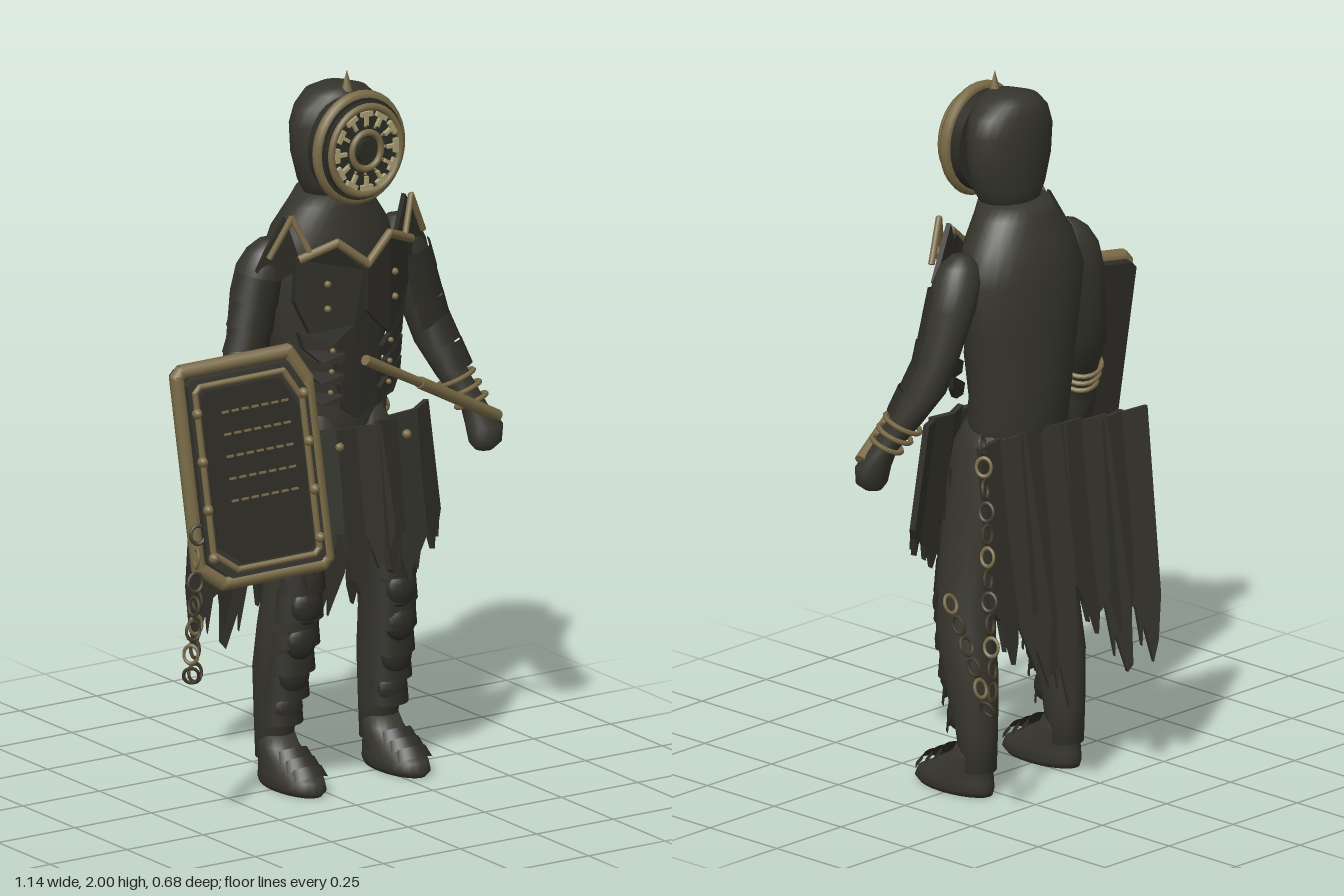
import * as THREE from 'three';

const flat = (name, color, side = THREE.FrontSide) => {
  const m = new THREE.MeshStandardMaterial({ color, side });
  m.name = name;
  return m;
};
const V = (x, y, z) => new THREE.Vector3(x, y, z);
const CX = 0.12; // body centre line

export function createModel() {
  const model = new THREE.Group();
  const suit = flat('charcoal suit', 0x36352d);
  const armour = flat('dark armour', 0x2d2c26, THREE.DoubleSide);
  const cloth = flat('torn cloth', 0x32312a, THREE.DoubleSide);
  const brass = flat('aged brass', 0x7a6b47);
  const pale = flat('pale brass', 0xaba077);
  const iron = flat('chain iron', 0x403b2b);

  const add = (name, geo, mat, parent = model, pos) => {
    const m = new THREE.Mesh(geo, mat);
    m.name = name;
    if (pos) m.position.copy(pos);
    parent.add(m);
    return m;
  };
  const group = name => {
    const g = new THREE.Group();
    g.name = name;
    model.add(g);
    return g;
  };
  // Smooth body from level ellipses [x, y, z, rx, rz], bottom to top, closed at both ends
  const loft = (rows, seg = 24) => {
    const close = r => [r[0], r[1], r[2], 0.001, 0.001];
    const all = [close(rows[0]), ...rows, close(rows[rows.length - 1])];
    const pos = [], idx = [];
    all.forEach(([x, y, z, rx, rz], i) => {
      for (let j = 0; j < seg; j++) {
        const a = j / seg * Math.PI * 2;
        pos.push(x + rx * Math.cos(a), y, z + rz * Math.sin(a));
        if (i === all.length - 1) continue;
        const p = i * seg + j, q = i * seg + (j + 1) % seg;
        idx.push(p, p + seg, q, q, p + seg, q + seg);
      }
    });
    const g = new THREE.BufferGeometry();
    g.setAttribute('position', new THREE.Float32BufferAttribute(pos, 3));
    g.setIndex(idx);
    g.computeVertexNormals();
    return g;
  };
  // Round bar between two points
  const rod = (name, a, b, r, parent = model, r2 = r) => {
    const d = b.clone().sub(a);
    const m = add(name, new THREE.CylinderGeometry(r2, r, d.length() + r * 0.6, 10), brass, parent, a.clone().add(b).multiplyScalar(0.5));
    m.quaternion.setFromUnitVectors(V(0, 1, 0), d.normalize());
  };
  const rods = (name, pts, r, parent) => pts.slice(1).forEach((p, i) => rod(name, pts[i], p, r, parent));
  const slab = (pts, depth) => new THREE.ExtrudeGeometry(
    new THREE.Shape(pts.map(p => new THREE.Vector2(p[0], p[1]))), { depth, bevelEnabled: false });
  // Armour plate wrapped back around the body
  const bent = (pts, depth, z, k) => {
    const g = slab(pts, depth), p = g.attributes.position;
    for (let i = 0; i < p.count; i++) p.setZ(i, p.getZ(i) + z - k * p.getX(i) ** 2);
    g.computeVertexNormals();
    return g;
  };
  const stud = (p, r = 0.01, parent = model) => add('stud', new THREE.SphereGeometry(r, 10, 6), brass, parent, p);
  // Curved guard wrapping the front of a limb
  const guard = (name, p, rTop, rBot, h, sz = 1) => {
    const m = add(name, new THREE.CylinderGeometry(rTop, rBot, h, 12, 1, true, -1.1, 2.2), armour, model, p);
    m.scale.z = sz;
    return m;
  };

  // Torso and hood
  add('torso', loft([
    [CX, 0.91, -0.05, 0.09, 0.08], [CX, 0.96, -0.055, 0.14, 0.11], [CX, 1.04, -0.06, 0.155, 0.12],
    [CX, 1.15, -0.07, 0.16, 0.12], [CX, 1.3, -0.07, 0.185, 0.125], [CX, 1.45, -0.067, 0.21, 0.13],
    [CX, 1.55, -0.06, 0.175, 0.118], [CX, 1.62, -0.05, 0.125, 0.1], [CX, 1.655, -0.045, 0.1, 0.095]], 32), suit);
  add('hood', loft([
    [CX, 1.63, -0.03, 0.08, 0.065], [CX, 1.69, -0.025, 0.115, 0.08], [CX, 1.77, -0.025, 0.137, 0.088],
    [CX, 1.85, -0.027, 0.14, 0.09], [CX, 1.9, -0.025, 0.125, 0.085], [CX, 1.935, -0.025, 0.09, 0.075],
    [CX, 1.95, -0.02, 0.045, 0.05]], 28), suit);

  // Round visor
  const visor = group('visor');
  visor.position.set(CX, 1.795, 0.085);
  visor.scale.y = 1.08;
  const disc = (name, r, d, z, mat) => { add(name, new THREE.CylinderGeometry(r, r, d, 32), mat, visor, V(0, 0, z)).rotation.x = Math.PI / 2; };
  const ring = (name, R, r, z) => add(name, new THREE.TorusGeometry(R, r, 8, 36), brass, visor, V(0, 0, z));
  disc('visorBack', 0.132, 0.07, -0.015, armour);
  ring('visorRim', 0.132, 0.017, 0);
  disc('visorFace', 0.124, 0.03, 0.015, armour);
  ring('visorMiddleRing', 0.113, 0.01, 0.035);
  ring('visorInnerRing', 0.047, 0.009, 0.038);
  disc('visorHub', 0.03, 0.03, 0.03, armour);
  for (let i = 0; i < 12; i++) {
    const a = i / 12 * Math.PI * 2;
    const at = (r, z) => V(Math.sin(a) * r, Math.cos(a) * r, z);
    add('visorTick', new THREE.BoxGeometry(0.036, 0.013, 0.012), pale, visor, at(0.096, 0.038)).rotation.z = -a;
    add('visorTooth', new THREE.BoxGeometry(0.009, 0.026, 0.012), pale, visor, at(0.08, 0.038)).rotation.z = -a;
    stud(at(0.063, 0.032), 0.005, visor);
  }
  add('crownSpike', new THREE.ConeGeometry(0.017, 0.065, 8), brass, model, V(CX, 1.968, 0.028));

  for (const s of [-1, 1]) {
    const X = dx => CX + s * dx;
    const row = ([dx, ...r]) => [X(dx), ...r];

    // Arm and fist
    add('arm', loft([
      [0.395, 0.885, 0.105, 0.025, 0.025], [0.4, 0.905, 0.105, 0.047, 0.04], [0.4, 0.95, 0.1, 0.054, 0.045],
      [0.385, 1.0, 0.075, 0.038, 0.037], [0.345, 1.08, 0.035, 0.046, 0.05], [0.315, 1.17, -0.015, 0.053, 0.058],
      [0.285, 1.27, -0.04, 0.052, 0.056], [0.25, 1.4, -0.05, 0.065, 0.068], [0.23, 1.47, -0.05, 0.068, 0.064],
      [0.215, 1.515, -0.045, 0.055, 0.05], [0.21, 1.54, -0.045, 0.025, 0.025]].map(row)), suit);
    for (const [dx, y, z, r] of [[0.378, 1.015, 0.07, 0.045], [0.364, 1.045, 0.053, 0.049], [0.35, 1.075, 0.037, 0.053]]) {
      const band = add('wristBand', new THREE.TorusGeometry(r, 0.007, 6, 20), brass, model, V(X(dx), y, z));
      band.rotation.set(Math.PI / 2 - 0.35, s * 0.3, 0);
    }
    [[0.332, 1.13, 0.008], [0.31, 1.2, -0.022], [0.288, 1.27, -0.037], [0.268, 1.34, -0.045], [0.25, 1.41, -0.05]].forEach(([dx, y, z], i) => {
      const g = guard('armGuard', V(X(dx), y, z), 0.062 + i * 0.002, 0.068 + i * 0.002, 0.075);
      g.rotation.set(i < 2 ? -0.35 : -0.05, s * 0.4, s * 0.25);
    });

    // Pointed shoulder plate with brass edge
    const sh = add('shoulderPlate', slab([[0.15, 1.47], [0.2, 1.615], [0.285, 1.47], [0.24, 1.42]].map(([a, b]) => [s * a, b - 1.5]), 0.015), armour, model, V(CX, 1.5, 0.055));
    sh.rotation.y = s * 0.25;
    rods('shoulderTrim', [V(X(0.155), 1.52, 0.08), V(X(0.195), 1.62, 0.05), V(X(0.25), 1.51, 0.025)], 0.009);

    // Breastplate half, collar trim and rib plates
    const plate = (name, pts, z, k) => add(name, bent(pts.map(([a, b]) => [s * a, b]), 0.02, z, k), armour, model, V(CX, 0, 0));
    plate('breastplate', [[0.008, 1.46], [0.09, 1.54], [0.18, 1.5], [0.185, 1.38], [0.15, 1.29], [0.09, 1.26], [0.035, 1.31], [0.008, 1.34]], 0.1, 2);
    plate('bellyPlate', [[0, 1.36], [0.05, 1.34], [0.07, 1.2], [0.045, 1.06], [0, 1.03]], 0.065, 1.5);
    rods('collarTrim', [V(X(0.18), 1.505, 0.07), V(X(0.085), 1.545, 0.108), V(X(0), 1.478, 0.13)], 0.012);
    for (let i = 0; i < 3; i++) {
      const y = 1.25 - i * 0.06;
      plate('ribPlate', [[0.06, y - 0.02], [0.17, y + 0.04], [0.16, y - 0.005], [0.12, y - 0.045], [0.07, y - 0.05]], 0.1 - i * 0.005, 2.4);
      stud(V(X(0.095), y - 0.01, 0.1 - i * 0.005), 0.008);
    }
    for (const y of [1.43, 1.36]) stud(V(X(0.11), y, 0.098));

    // Leg, foot and layered guards
    add('leg', loft([
      [0.17, 0.07, -0.075, 0.05, 0.048], [0.17, 0.18, -0.068, 0.057, 0.058], [0.17, 0.33, -0.045, 0.073, 0.078],
      [0.165, 0.45, -0.022, 0.076, 0.086], [0.152, 0.56, -0.01, 0.076, 0.09], [0.128, 0.7, -0.015, 0.084, 0.1],
      [0.1, 0.85, -0.03, 0.09, 0.115], [0.085, 0.97, -0.04, 0.085, 0.115], [0.08, 1.04, -0.05, 0.06, 0.09]].map(row)), suit);
    add('foot', loft([
      [0.17, 0, 0.01, 0.058, 0.125], [0.17, 0.015, 0.015, 0.067, 0.135], [0.17, 0.04, 0.01, 0.066, 0.128],
      [0.17, 0.075, -0.02, 0.06, 0.092], [0.17, 0.11, -0.055, 0.056, 0.064], [0.17, 0.14, -0.065, 0.05, 0.055]].map(row)), suit);
    for (let i = 0; i < 6; i++) {
      const t = i / 5, y = 0.22 + t * 0.38, r = 0.064 + 0.018 * Math.sin(t * 2.2);
      guard('shinGuard', V(X(0.172 - t * 0.023), y, -0.058 + t * 0.048), r, r + 0.007, 0.09, 1.1);
    }
    for (let i = 0; i < 3; i++) guard('thighGuard', V(X(0.125 - i * 0.012), 0.7 + i * 0.08, -0.01 - i * 0.008), 0.086, 0.092, 0.09, 1.12);
    // Rounded scales down the front of the leg
    [[0.155, 0.52, 0.06], [0.162, 0.42, 0.045], [0.167, 0.32, 0.02], [0.17, 0.22, -0.008]].forEach(([dx, y, z]) => {
      add('legScale', new THREE.SphereGeometry(0.048, 14, 10), armour, model, V(X(dx), y, z)).scale.set(1, 1.1, 0.55);
    });
    for (let i = 0; i < 3; i++) {
      const g = guard('footGuard', V(X(0.17), 0.085 - i * 0.018, 0.01 + i * 0.035), 0.052, 0.062, 0.035, 0.8);
      g.rotation.x = -0.5;
    }
  }

  // Torn skirt: ragged hanging strips
  const strip = (x, y, z, w, len, lean, yaw, seed) => {
    const k = 0.1 + 0.08 * Math.sin(seed * 2.3);
    const m = add('skirtStrip', slab([[-w / 2, 0], [w / 2, 0.012 * Math.sin(seed)], [w * 0.56, -len * 0.75], [w * 0.32, -len * (0.9 - k)],
      [w * 0.2, -len * 0.93], [0.01, -len * 0.84], [-w * 0.15, -len], [-w * 0.36, -len * (0.8 + k)], [-w * 0.54, -len * 0.74]], 0.016), cloth, model, V(x, y, z));
    m.rotation.set(lean, yaw, 0.05 * Math.sin(seed * 1.7));
  };
  [0.4, 0.43, 0.38, 0.46, 0.4, 0.42, 0.46, 0.39].forEach((len, i) => {
    const u = (i - 3.5) / 3.5;
    strip(0.085 + u * 0.235, 1.025, 0.115 - 0.045 * u * u, 0.085, len, -0.15, u * 0.3 + (i % 2 ? 0.22 : -0.22), i + 1);
  });
  [0.71, 0.65, 0.72, 0.6, 0.78, 0.68, 0.71, 0.63].forEach((len, i) => {
    const u = i / 7;
    strip(-0.15 + u * 0.47, 1.03, -0.23 + u * 0.08, 0.088, len, 0.12, -0.17 + (i % 2 ? 0.2 : -0.2), i + 4);
  });
  for (const x of [0.02, 0.24]) stud(V(x, 0.98, 0.14), 0.013);

  // Baton held in the left hand
  const tip = V(0.05, 1.24, 0.225), mid = V(0.26, 1.13, 0.178), end = V(0.55, 0.975, 0.115);
  rod('batonShaft', tip, mid, 0.015, model, 0.013);
  rod('batonGrip', mid, end, 0.017);

  // Shield: tilted slab with stepped, brass-edged face
  const shield = group('shield');
  const sx = V(0.96, 0.085, 0.215).normalize();
  const sz = sx.clone().cross(V(-0.01, 1, -0.09)).normalize();
  shield.quaternion.setFromRotationMatrix(new THREE.Matrix4().makeBasis(sx, sz.clone().cross(sx), sz));
  shield.position.set(-0.325, 1.0, 0.225);
  const outline = (w, h) => [[-w + 0.015, h], [w - 0.045, h], [w, h - 0.085], [w, -h + 0.015], [w - 0.015, -h], [-w + 0.065, -h], [-w, -h + 0.055], [-w, h - 0.015]];
  const border = (name, w, h, z, r) => {
    const p = outline(w, h).map(([a, b]) => V(a, b, z));
    rods(name, [...p, p[0]], r, shield);
  };
  add('shieldBody', slab(outline(0.188, 0.3), 0.06), armour, shield, V(0, 0, -0.05));
  border('shieldRim', 0.184, 0.3, 0, 0.021);
  add('shieldFace', slab(outline(0.17, 0.282), 0.03), suit, shield, V(0, 0, 0.012));
  border('shieldFaceTrim', 0.152, 0.26, 0.042, 0.009);
  add('shieldPanel', slab(outline(0.138, 0.245), 0.012), armour, shield, V(0, 0, 0.036));
  for (let i = 0; i < 5; i++) {
    for (let j = 0; j < 7; j++)
      add('shieldDash', new THREE.BoxGeometry(0.02, 0.006, 0.006), brass, shield, V(-0.075 + j * 0.029, 0.18 - i * 0.062, 0.05));
  }
  for (const x of [-0.155, 0.155]) for (let i = 0; i < 4; i++) stud(V(x, 0.19 - i * 0.135, 0.05), 0.015, shield);

  // Hanging chains: spaced links turned a quarter each time
  const chain = (name, pts, n) => {
    const curve = new THREE.CatmullRomCurve3(pts.map(p => V(...p)));
    const g = group(name);
    const link = new THREE.TorusGeometry(0.021, 0.0048, 6, 16).scale(1, 1.2, 1);
    for (let i = 0; i < n; i++) {
      const m = add('link', link, i % 4 === 1 ? brass : iron, g, curve.getPointAt(i / (n - 1)));
      m.quaternion.setFromUnitVectors(V(0, 1, 0), curve.getTangentAt(i / (n - 1)));
      m.rotateY(i % 2 ? 0 : Math.PI / 2);
    }
  };
  chain('hipChain', [[0.355, 1.03, -0.15], [0.38, 0.87, -0.19], [0.41, 0.7, -0.225], [0.44, 0.52, -0.265], [0.47, 0.38, -0.3],
    [0.5, 0.345, -0.315], [0.515, 0.47, -0.27], [0.53, 0.63, -0.2]], 18);
  chain('shieldChain', [[-0.5, 0.84, 0.225], [-0.52, 0.7, 0.24], [-0.545, 0.56, 0.265], [-0.55, 0.48, 0.26],
    [-0.525, 0.43, 0.245], [-0.51, 0.55, 0.225], [-0.495, 0.65, 0.215]], 11);

  return model;
}
